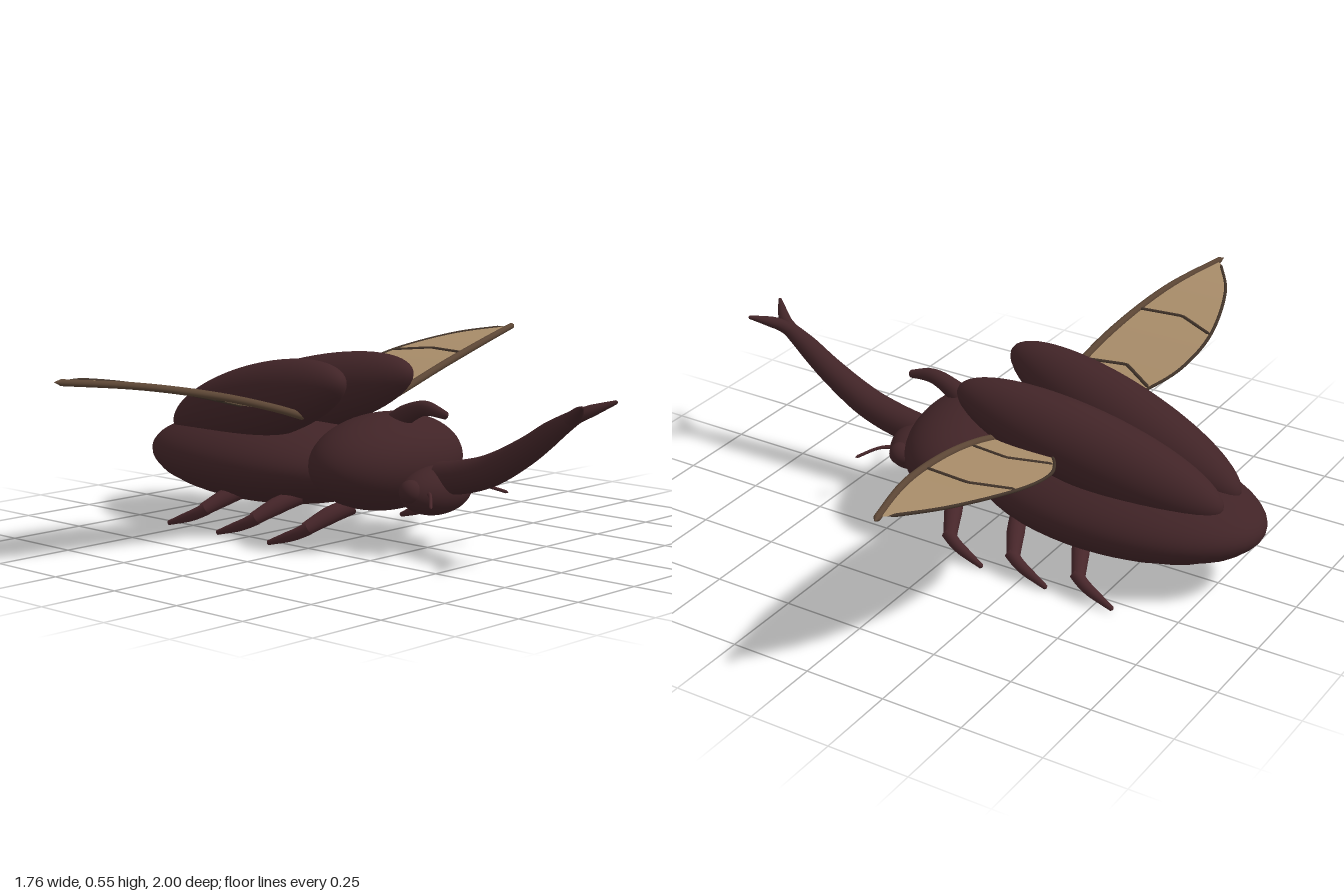
import * as THREE from 'three';
import { ParametricGeometry } from 'three/addons/geometries/ParametricGeometry.js';

const material = (name, color, side = THREE.FrontSide) => {
  const m = new THREE.MeshStandardMaterial({ color, side });
  m.name = name;
  return m;
};

export function createModel() {
  const shell = material('dark shell', 0x412427);
  const limb = material('limb brown', 0x47262a);
  const membrane = material('wing membrane', 0xa88c69, THREE.DoubleSide);
  const spar = material('wing spar', 0x5c4635);
  const vein = material('wing vein', 0x42342a);

  const model = new THREE.Group();
  model.name = 'beetle';

  const add = (name, geometry, mat, parent = model) => {
    const mesh = new THREE.Mesh(geometry, mat);
    mesh.name = name;
    parent.add(mesh);
    return mesh;
  };
  const ellipsoid = (name, center, radii, mat = shell) => {
    const g = new THREE.SphereGeometry(1, 48, 32);
    g.scale(...radii);
    const mesh = add(name, g, mat);
    mesh.position.set(...center);
    return mesh;
  };
  const curveOf = (points, tension = 0.5) => new THREE.CatmullRomCurve3(
    points.map(p => new THREE.Vector3(...p)), false, 'catmullrom', tension);

  // Tube whose radius follows a list, closed to a point at both ends
  const taperedTube = (name, points, radii, mat, parent = model, tension = 0.5, segments = 32, sides = 14) => {
    const path = curveOf(points, tension);
    const g = new THREE.TubeGeometry(path, segments, 1, sides);
    const pos = g.attributes.position;
    const v = new THREE.Vector3();
    for (let i = 0; i <= segments; i++) {
      const c = path.getPointAt(i / segments);
      const f = (i / segments) * (radii.length - 1);
      const k = Math.min(Math.floor(f), radii.length - 2);
      const end = i === 0 || i === segments;
      const r = end ? 0 : THREE.MathUtils.lerp(radii[k], radii[k + 1], f - k);
      for (let j = 0; j <= sides; j++) {
        const n = i * (sides + 1) + j;
        v.fromBufferAttribute(pos, n).sub(c).multiplyScalar(r).add(c);
        pos.setXYZ(n, v.x, v.y, v.z);
      }
    }
    return add(name, g, mat, parent);
  };

  // Abdomen, with faint segment ripples toward the rear underside
  const abdomen = ellipsoid('abdomen', [-0.41, 0.2, 0], [0.47, 0.135, 0.267]);
  const ap = abdomen.geometry.attributes.position;
  for (let i = 0; i < ap.count; i++) {
    const x = ap.getX(i), y = ap.getY(i);
    if (y < 0) ap.setY(i, y * (1 + 0.025 * Math.sin(x * 60) * THREE.MathUtils.smoothstep(-x, 0.1, 0.35)));
  }
  abdomen.geometry.computeVertexNormals();

  // Thorax and head
  ellipsoid('thorax', [0.085, 0.245, 0], [0.182, 0.146, 0.28]);
  ellipsoid('head', [0.282, 0.18, 0], [0.08, 0.073, 0.135]);

  // Long forked head horn
  taperedTube('headHorn',
    [[0.29, 0.215, 0], [0.4, 0.235, 0], [0.5, 0.268, 0], [0.62, 0.335, 0], [0.72, 0.405, 0], [0.8, 0.455, 0]],
    [0.05, 0.05, 0.047, 0.041, 0.034, 0.02], shell, model, 0.5, 48, 20);

  // Short hooked thorax horn
  taperedTube('thoraxHorn', [[0.12, 0.36, 0], [0.17, 0.395, 0], [0.24, 0.418, 0], [0.325, 0.403, 0]],
    [0.036, 0.028, 0.021, 0.011], shell);

  // Height of the wing surface along the span
  const wingY = z => 0.395 + 0.263 * (z - 0.22) - 0.149 * (z - 0.22) * (z - 0.57);
  const leading = [[-0.1, 0.15], [-0.1, 0.3], [-0.12, 0.5], [-0.165, 0.75], [-0.24, 0.998]];
  const trailing = [[-0.27, 0.16], [-0.355, 0.28], [-0.405, 0.4], [-0.41, 0.575], [-0.345, 0.8], [-0.25, 0.955]];
  const veins = [
    [[-0.13, 0.61], [-0.285, 0.625], [-0.41, 0.57]],
    [[-0.11, 0.33], [-0.24, 0.35], [-0.355, 0.28]],
  ];

  for (const s of [1, -1]) {
    // Raised wing case
    const wingCase = ellipsoid('wingCase', [-0.365, 0.385, s * 0.103], [0.43, 0.119, 0.112]);
    wingCase.rotation.set(0, -s * 0.118, 0.262, 'ZYX');

    // Eye and antenna
    ellipsoid('eye', [0.285, 0.19, s * 0.115], [0.035, 0.035, 0.035]);
    taperedTube('antenna', [[0.31, 0.18, s * 0.07], [0.36, 0.188, s * 0.115], [0.415, 0.165, s * 0.175]],
      [0.008, 0.005, 0.005], limb, model, 0.5, 16, 8);

    // Horn fork prong
    taperedTube('hornProng', [[0.765, 0.435, 0], [0.81, 0.46, s * 0.02], [0.875, 0.492, s * 0.082]],
      [0.022, 0.017, 0.005], shell);

    // Three legs on each side
    for (const x of [-0.43, -0.21, 0.01]) {
      const leg = new THREE.Group();
      leg.name = 'leg';
      model.add(leg);
      taperedTube('upperLeg', [[x + 0.06, 0.125, s * 0.13], [x + 0.03, 0.1, s * 0.2], [x - 0.005, 0.062, s * 0.272]],
        [0.026, 0.027, 0.02], limb, leg);
      taperedTube('lowerLeg', [[x + 0.012, 0.07, s * 0.264], [x - 0.04, 0.043, s * 0.282], [x - 0.135, 0.008, s * 0.297]],
        [0.02, 0.016, 0.007], limb, leg);
    }

    // Spread hind wing
    const wing = new THREE.Group();
    wing.name = 'hindWing';
    model.add(wing);
    const onWing = pts => pts.map(([x, z]) => [x, wingY(z), s * z]);
    const front = curveOf(onWing(leading)), back = curveOf(onWing(trailing));
    const sheet = new ParametricGeometry((u, v, out) => {
      out.copy(front.getPoint(u * 0.97)).lerp(back.getPoint(u), v);
      out.y = wingY(Math.abs(out.z));
    }, 32, 8);
    add('wingMembrane', sheet, membrane, wing);
    taperedTube('wingSpar', onWing(leading), [0.012, 0.012, 0.01], spar, wing, 0.5, 40, 10);
    taperedTube('wingRim', onWing(trailing), [0.005, 0.005], vein, wing, 0.5, 40, 6);
    for (const line of veins) taperedTube('wingVein', onWing(line), [0.006, 0.006], vein, wing, 0, 20, 6);
  }
  return model;
}
